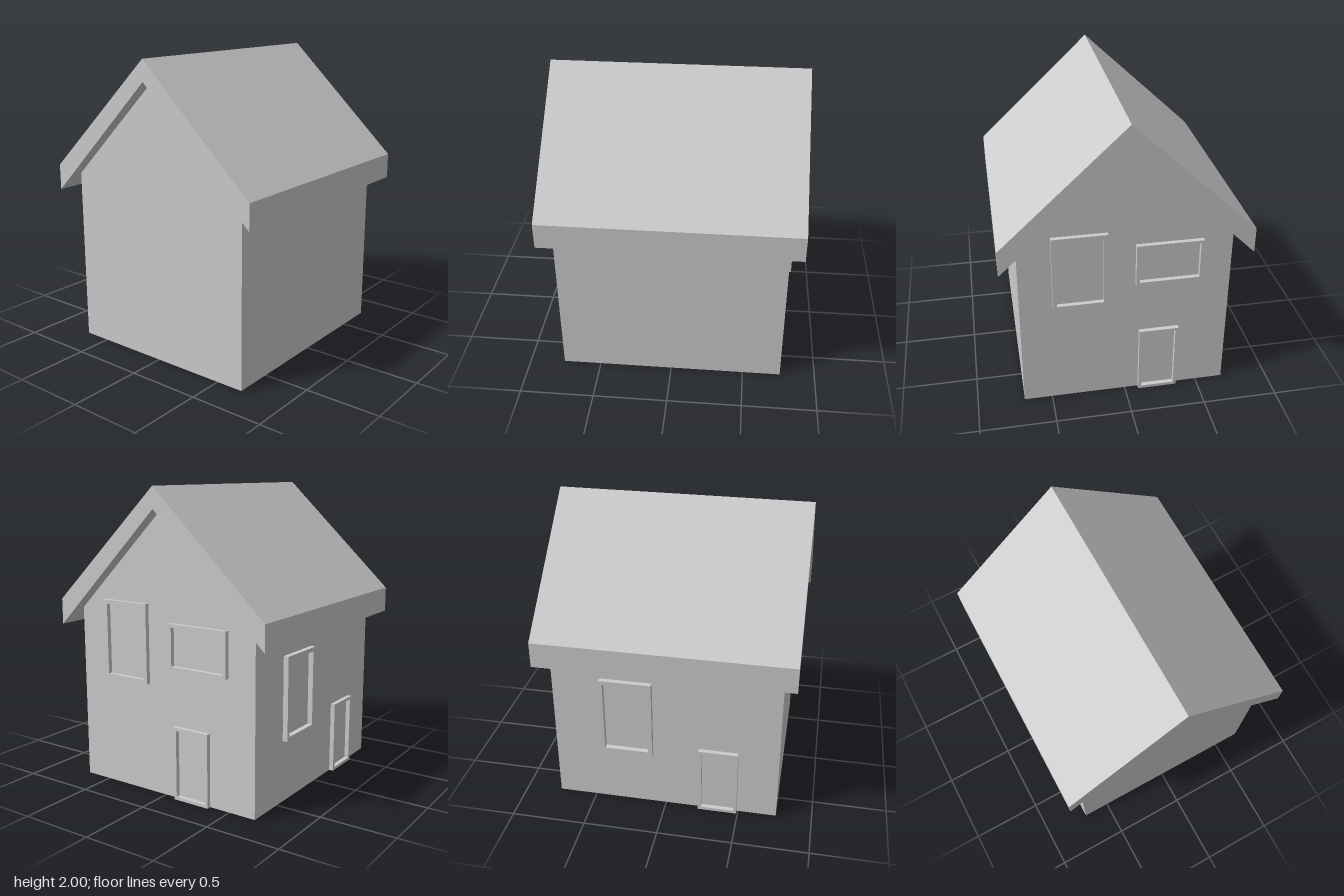
import * as THREE from 'three';

const material = new THREE.MeshStandardMaterial({ color: 0xcccccc, flatShading: true });

function polygon(points) {
  return new THREE.Shape(points.map(([x, y]) => new THREE.Vector2(x, y)));
}

// Extrude a shape along +z, starting at the given z
function extrude(name, shape, start, depth) {
  const geometry = new THREE.ExtrudeGeometry(shape, { depth, bevelEnabled: false });
  geometry.translate(0, 0, start);
  const mesh = new THREE.Mesh(geometry, material);
  mesh.name = name;
  return mesh;
}

// Rectangular frame standing out from a wall; u runs along the wall
function frame(name, u0, u1, y0, y1, wall, depth, border = 0.023) {
  const shape = polygon([[u0, y0], [u1, y0], [u1, y1], [u0, y1]]);
  const b = border;
  shape.holes.push(polygon([[u0 + b, y0 + b], [u0 + b, y1 - b], [u1 - b, y1 - b], [u1 - b, y0 + b]]));
  return extrude(name, shape, wall, depth);
}

export function createModel() {
  const house = new THREE.Group();
  house.name = 'house';

  // Gabled parts: profile in the z-y plane, extruded along x
  const gabled = new THREE.Group();
  gabled.name = 'gabledBody';
  gabled.rotation.y = Math.PI / 2;
  gabled.add(
    extrude('walls', polygon([[-0.688, 0], [0.688, 0], [0.688, 1.185], [0, 1.86], [-0.688, 1.185]]), -0.76, 1.52),
    extrude('roof', polygon([
      [-0.803, 1.07], [0, 1.862], [0.803, 1.07], [0.803, 1.242], [0, 2], [-0.803, 1.242],
    ]), -0.845, 1.69),
  );
  house.add(gabled);

  // Frames on the left gable wall (u = -z)
  const gableFrames = new THREE.Group();
  gableFrames.name = 'gableFrames';
  gableFrames.rotation.y = Math.PI / 2;
  gableFrames.add(
    frame('tallWindowFrame', -0.475, -0.12, 0.735, 1.26, 0.755, 0.035, 0.027),
    frame('wideWindowFrame', 0.06, 0.495, 0.86, 1.155, 0.755, 0.035, 0.022),
    frame('sideDoorFrame', 0.09, 0.355, 0, 0.487, 0.755, 0.035, 0.021),
  );
  house.add(gableFrames);

  // Frames on the back wall (u = -x)
  const backFrames = new THREE.Group();
  backFrames.name = 'backFrames';
  backFrames.rotation.y = Math.PI;
  backFrames.add(
    frame('backWindowFrame', -0.435, -0.085, 0.41, 0.962, 0.685, 0.038, 0.027),
    frame('backDoorFrame', 0.227, 0.492, 0, 0.487, 0.685, 0.033, 0.021),
  );
  house.add(backFrames);

  return house;
}
